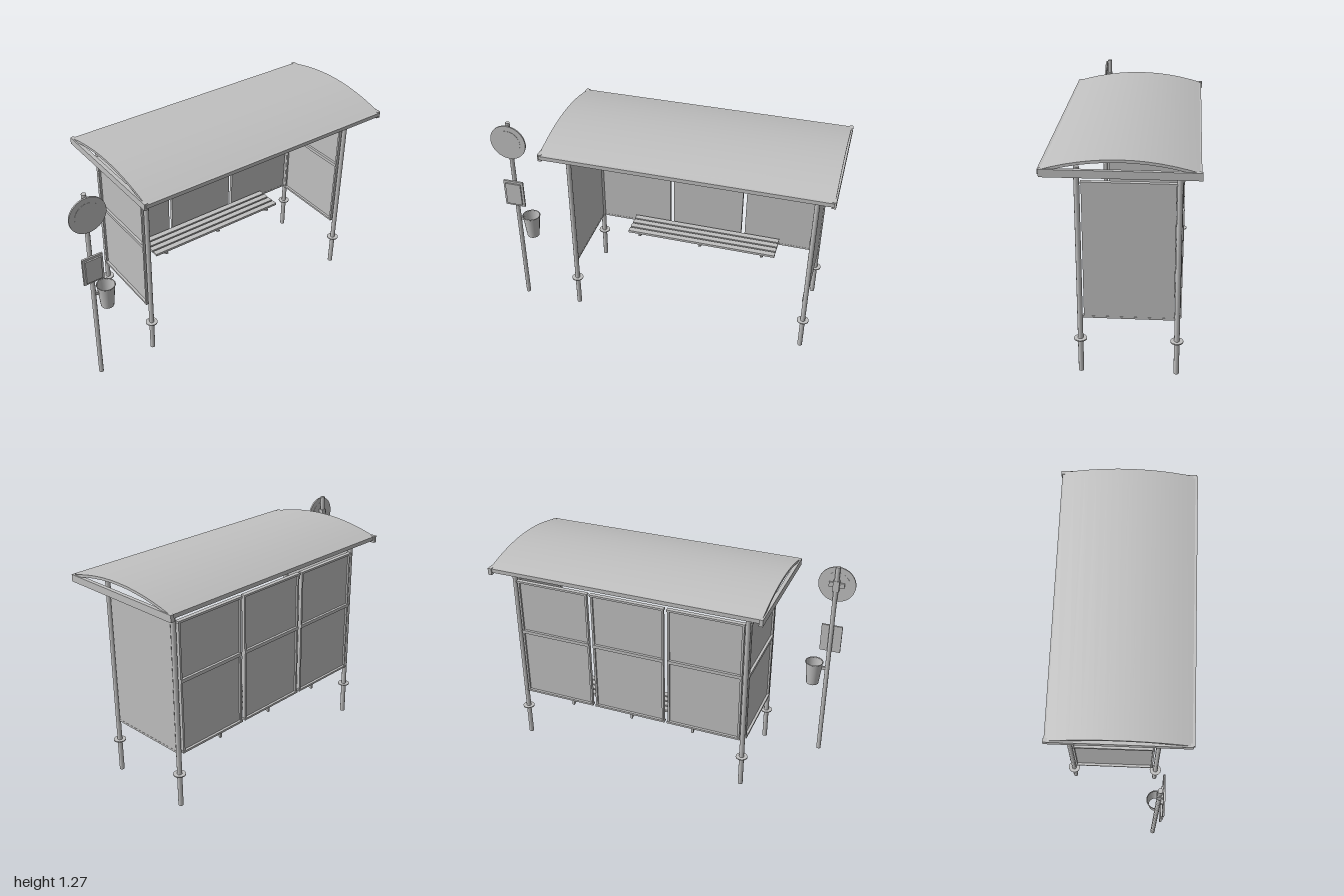
import * as THREE from 'three';

export function createModel() {
  const root = new THREE.Group();
  root.name = 'busShelter';
  const grey = new THREE.MeshStandardMaterial({ color: 0xc0c0c0 });
  grey.name = 'grey';
  const greyOpen = new THREE.MeshStandardMaterial({ color: 0xc0c0c0, side: THREE.DoubleSide });
  greyOpen.name = 'grey open surface';

  const add = (name, geo, parent = root, mat = grey) => {
    const m = new THREE.Mesh(geo, mat);
    m.name = name;
    parent.add(m);
    return m;
  };
  // box given by its min and max on each axis
  const box = (name, x0, x1, y0, y1, z0, z1, parent = root) => {
    const m = add(name, new THREE.BoxGeometry(x1 - x0, y1 - y0, z1 - z0), parent);
    m.position.set((x0 + x1) / 2, (y0 + y1) / 2, (z0 + z1) / 2);
    return m;
  };
  const post = (name, x, z, h, r) => {
    const m = add(name, new THREE.CylinderGeometry(r, r, h, 10), root);
    m.position.set(x, h / 2, z);
  };
  const disc = (name, x, y, z, r, t) => {
    const m = add(name, new THREE.CylinderGeometry(r, r, t, 32));
    m.rotation.x = Math.PI / 2;
    m.position.set(x, y, z);
  };

  // corner posts with foot collars
  const postX = [-0.535, 0.892], postZ = [0.222, -0.291];
  for (const x of postX) for (const z of postZ) {
    post('cornerPost', x, z, 1.18, 0.0145);
    const c = add('postCollar', new THREE.CylinderGeometry(0.035, 0.035, 0.006, 16));
    c.position.set(x, 0.2, z);
  }

  // wall panel: flat sheet facing +z with a frame and middle rail on its back
  const wall = (name, w) => {
    const g = new THREE.Group();
    g.name = name;
    root.add(g);
    const h = w / 2, y0 = 0.33, y1 = 1.1, b = 0.012, z0 = -0.02, z1 = -0.004;
    box('sheet', -h, h, y0 + 0.002, y1 - 0.002, -0.005, 0.005, g);
    box('topRail', -h - 0.004, h + 0.004, y1 - b, y1, z0, 0.006, g);
    box('bottomRail', -h - 0.004, h + 0.004, y0, y0 + b, z0, 0.006, g);
    box('middleRail', -h, h, 0.75, 0.77, z0, z1, g);
    for (const s of [-1, 1]) {
      const x = s * (h - b / 2);
      box('sideRail', x - b / 2, x + b / 2, y0 + b, y1 - b, z0 + 0.004, z1, g);
    }
    return g;
  };
  for (let i = 0; i < 3; i++) {
    wall('backPanel', 0.447).position.set(-0.295 + i * 0.471, 0, -0.291);
  }
  for (const x of postX) {
    const g = wall('sidePanel', 0.475);
    g.rotation.y = Math.PI / 2;
    g.position.set(x, 0, -0.037);
  }

  // arched roof sheet, swept along x
  const N = 12, Z = 0.392, T = 0.015;
  const top = [], under = [];
  for (let i = 0; i <= N; i++) {
    const u = -1 + 2 * i / N;
    const y = 1.195 + 0.06 * (1 - u * u);
    top.push([u * Z, y]);
    under.push([u * Z, y - T]);
  }
  const strip = (name, a, x0, x1, flip) => {
    // smooth curved face between two x positions
    const pos = [], idx = [];
    a.forEach(([z, y], i) => {
      pos.push(x0, y, z, x1, y, z);
      if (i) {
        const k = 2 * i;
        if (flip) idx.push(k - 2, k - 1, k, k - 1, k + 1, k);
        else idx.push(k - 2, k, k - 1, k - 1, k, k + 1);
      }
    });
    const g = new THREE.BufferGeometry();
    g.setAttribute('position', new THREE.Float32BufferAttribute(pos, 3));
    g.setIndex(idx);
    g.computeVertexNormals();
    add(name, g);
  };
  strip('roofTop', top, -0.635, 0.99, false);
  strip('roofUnderside', under, -0.635, 0.99, true);
  // roof end faces and long edges
  const arch = new THREE.Shape([...top, ...under.slice().reverse()].map(([z, y]) => new THREE.Vector2(-z, y)));
  for (const x of [-0.635, 0.99]) {
    const e = add('roofEnd', new THREE.ShapeGeometry(arch), root, greyOpen);
    e.rotation.y = Math.PI / 2;
    e.position.x = x;
  }
  box('frontRoofRail', -0.635, 0.99, 1.174, 1.197, 0.384, 0.399);
  box('backRoofRail', -0.635, 0.99, 1.174, 1.197, -0.394, -0.38);
  for (const x of [-0.632, 0.987]) box('roofSideBeam', x - 0.011, x + 0.011, 1.16, 1.2, -0.4, 0.392);
  box('ceilingLamp', -0.22, 0.57, 1.16, 1.195, -0.035, 0.035);

  // bench slats on three tapered brackets
  const bench = new THREE.Group();
  bench.name = 'bench';
  root.add(bench);
  for (let i = 0; i < 4; i++) {
    const z = -0.265 + i * 0.046;
    box('benchSlat', -0.295, 0.65, 0.375, 0.39, z, z + 0.036, bench);
  }
  const bracket = new THREE.Shape([[0.283, 0.28], [0.283, 0.375], [0.085, 0.375], [0.085, 0.365]]
    .map(([a, b]) => new THREE.Vector2(a, b)));
  for (const x of [-0.22, 0.175, 0.57]) {
    const m = add('benchBracket', new THREE.ExtrudeGeometry(bracket, { depth: 0.014, bevelEnabled: false }), bench);
    m.rotation.y = Math.PI / 2;
    m.position.x = x - 0.007;
  }

  // stop sign pole with round sign and its rear bracket
  const px = -0.89, pz = 0.22;
  post('signPole', px, pz, 1.268, 0.0135);
  disc('roundSign', px, 1.149, 0.241, 0.108, 0.009);
  disc('roundSignFace', px, 1.149, 0.241, 0.076, 0.012);
  box('signBracket', px - 0.045, px + 0.045, 1.134, 1.164, 0.226, 0.237);
  box('signClamp', px - 0.018, px + 0.018, 1.115, 1.183, 0.205, 0.237);

  // timetable board
  box('timetableBoard', -0.951, -0.828, 0.707, 0.88, 0.236, 0.247);
  box('timetableFace', -0.937, -0.842, 0.722, 0.866, 0.247, 0.256);

  // open litter bin with a rim, hung on the pole
  const bin = add('litterBin', new THREE.CylinderGeometry(0.052, 0.037, 0.15, 20, 1, true), root, greyOpen);
  bin.position.set(-0.81, 0.555, 0.217);
  const rim = add('binRim', new THREE.TorusGeometry(0.052, 0.003, 6, 20));
  rim.rotation.x = Math.PI / 2;
  rim.position.set(-0.81, 0.627, 0.217);
  box('binHook', -0.888, -0.858, 0.585, 0.605, 0.211, 0.223);
  return root;
}
